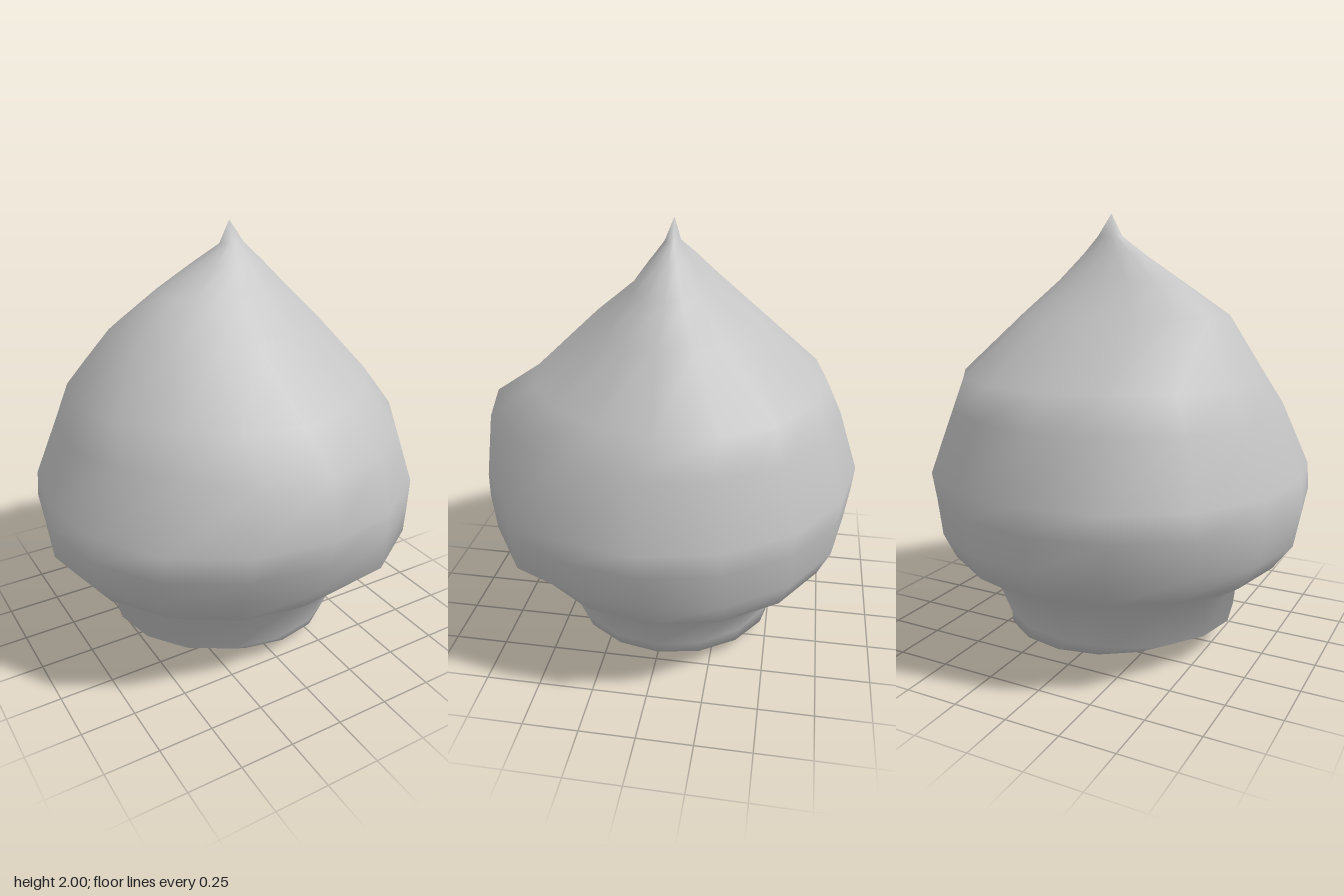
import * as THREE from 'three';

const SIDES = 16;

// cross-sections from base to tip: y, xMin, xMax, zMin, zMax,
// then swellings (+) or hollows (-) as [degrees from +x towards +z, amount]
const RINGS = [
  [0.02, -0.28, 0.28, -0.28, 0.37],
  [0.07, -0.44, 0.53, -0.51, 0.48],
  [0.13, -0.58, 0.55, -0.53, 0.52],
  [0.31, -0.60, 0.62, -0.59, 0.57],
  [0.44, -0.79, 0.79, -0.78, 0.72],
  [0.56, -0.88, 0.85, -0.84, 0.78, [58, 0.11]],
  [0.73, -0.90, 0.88, -0.86, 0.87, [58, 0.02], [135, 0.03], [230, 0.03]],
  [0.85, -0.89, 0.90, -0.87, 0.88, [135, 0.03], [230, 0.03]],
  [1.13, -0.80, 0.80, -0.78, 0.87, [40, -0.05], [138, -0.08]],
  [1.28, -0.72, 0.73, -0.71, 0.65, [40, -0.05], [135, -0.05]],
  [1.55, -0.54, 0.46, -0.38, 0.36],
  [1.70, -0.32, 0.29, -0.20, 0.18, [45, 0.12], [225, 0.12]],
  [1.82, -0.13, 0.17, -0.10, 0.09, [45, 0.2], [225, 0.2]],
  [1.90, -0.02, 0.10, -0.04, 0.03],
];

// closed loft through the rings, capped by a single point at each end
function loft(rings, bottom, top) {
  const pos = [];
  const index = [];
  for (const [y, x0, x1, z0, z1, ...bumps] of rings) {
    for (let i = 0; i < SIDES; i++) {
      const a = (i / SIDES) * Math.PI * 2;
      let k = 1;
      for (const [deg, amount] of bumps) {
        k += amount * Math.max(0, Math.cos(a - THREE.MathUtils.degToRad(deg))) ** 8;
      }
      pos.push(
        (x0 + x1) / 2 + ((x1 - x0) / 2) * Math.cos(a) * k, y,
        (z0 + z1) / 2 + ((z1 - z0) / 2) * Math.sin(a) * k);
    }
  }
  const b = rings.length * SIDES;
  const t = b + 1;
  pos.push(...bottom, ...top);
  for (let i = 0; i < SIDES; i++) {
    const j = (i + 1) % SIDES;
    for (let r = 0; r < rings.length - 1; r++) {
      const p = r * SIDES;
      const q = p + SIDES;
      index.push(p + i, q + i, p + j, p + j, q + i, q + j);
    }
    const last = (rings.length - 1) * SIDES;
    index.push(b, i, j, last + i, t, last + j);
  }
  const g = new THREE.BufferGeometry();
  g.setAttribute('position', new THREE.Float32BufferAttribute(pos, 3));
  g.setIndex(index);
  g.computeVertexNormals();
  return g;
}

export function createModel() {
  const group = new THREE.Group();
  const grey = new THREE.MeshStandardMaterial({ color: 0xc4c4c4 });
  grey.name = 'plain grey';

  // rounded bulb on a short neck, drawn up to a pointed tip
  const body = new THREE.Mesh(loft(RINGS, [0.03, 0, 0], [0.03, 2, -0.01]), grey);
  body.name = 'bulbBody';
  group.add(body);
  return group;
}
